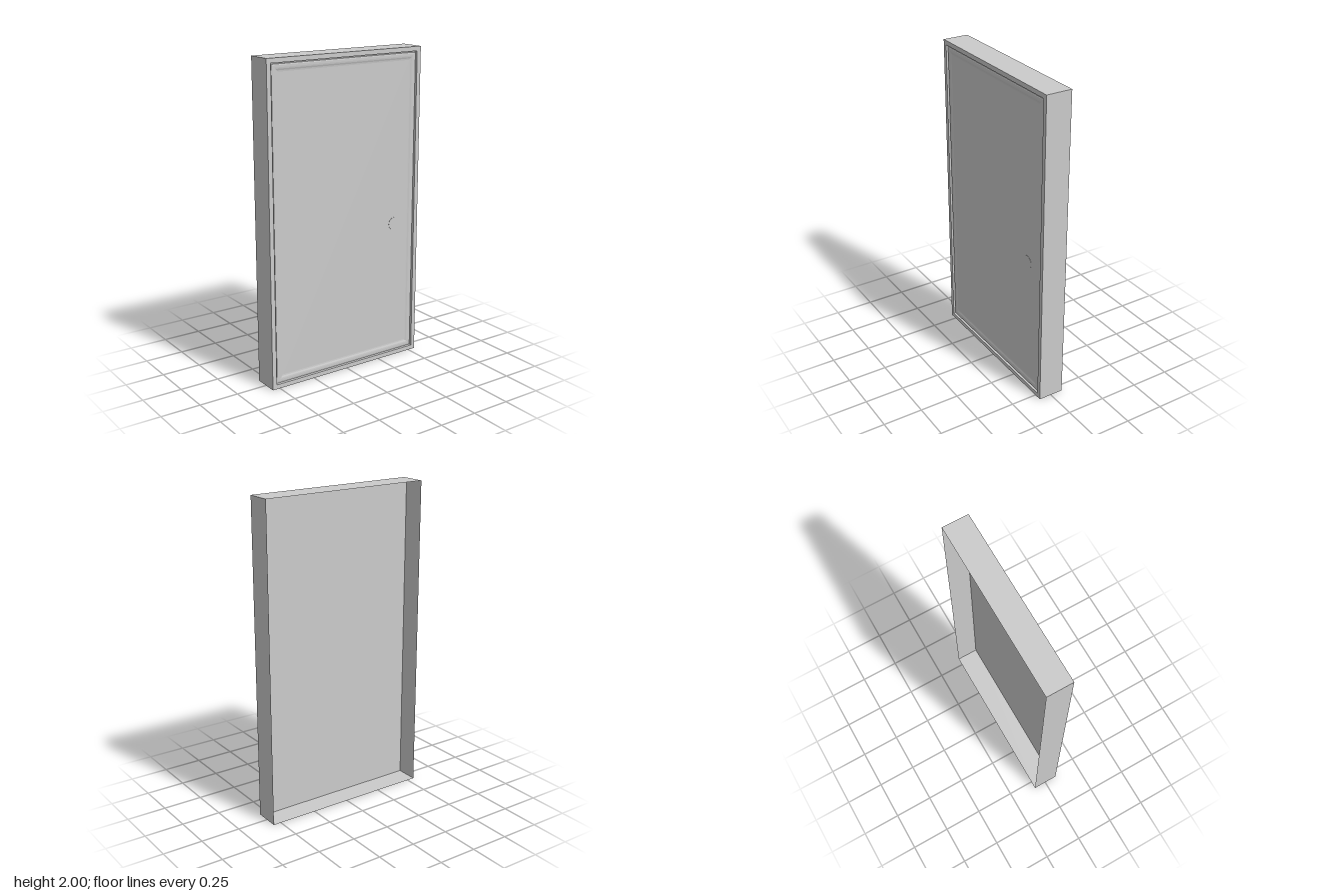
import * as THREE from 'three';

const W = 1.1, H = 2, D = 0.082; // width (z), height (y), half depth (x)

// Corners of an upright rectangle, counter-clockwise seen from +x
function ring([inset, x]) {
  const z = W / 2 - inset, lo = inset, hi = H - inset;
  return [[x, lo, z], [x, lo, -z], [x, hi, -z], [x, hi, z]];
}

// Mitred bands joining successive rectangles; optionally closed in the middle
function rectLoft(profile, fill) {
  const pos = [];
  const quad = (a, b, c, d) => pos.push(...a, ...b, ...c, ...a, ...c, ...d);
  const rings = profile.map(ring);
  for (let k = 0; k + 1 < rings.length; k++) {
    const A = rings[k], B = rings[k + 1];
    for (let i = 0; i < 4; i++) {
      const j = (i + 1) % 4;
      quad(A[i], A[j], B[j], B[i]);
    }
  }
  if (fill) quad(...rings[rings.length - 1]);
  const g = new THREE.BufferGeometry();
  g.setAttribute('position', new THREE.Float32BufferAttribute(pos, 3));
  g.computeVertexNormals();
  return g;
}

export function createModel() {
  const group = new THREE.Group();
  const material = new THREE.MeshStandardMaterial({ color: 0xcccccc, side: THREE.DoubleSide });
  const add = (name, geometry) => {
    const mesh = new THREE.Mesh(geometry, material);
    mesh.name = name;
    group.add(mesh);
    return mesh;
  };

  // Thin jamb walls, front trim and the step down into the groove
  add('doorFrame', rectLoft([[0, -D], [0, D], [0.028, D], [0.029, 0.066], [0.034, 0.066]], false));

  // Door leaf with a raised rim and a softly sunk centre
  add('doorLeaf', rectLoft([
    [0.034, 0.066], [0.036, 0.073], [0.042, 0.075], [0.055, 0.075],
    [0.063, 0.074], [0.072, 0.071], [0.08, 0.07],
  ], true));

  // Plain back of the leaf, set inside the open rear of the frame
  add('doorBack', rectLoft([[0, 0.06]], true));

  // Round handle plate, almost flush with the leaf
  const plate = add('handlePlate', new THREE.CylinderGeometry(0.042, 0.042, 0.003, 32));
  plate.rotation.z = -Math.PI / 2;
  plate.position.set(0.07, 0.895, -0.372);

  return group;
}
